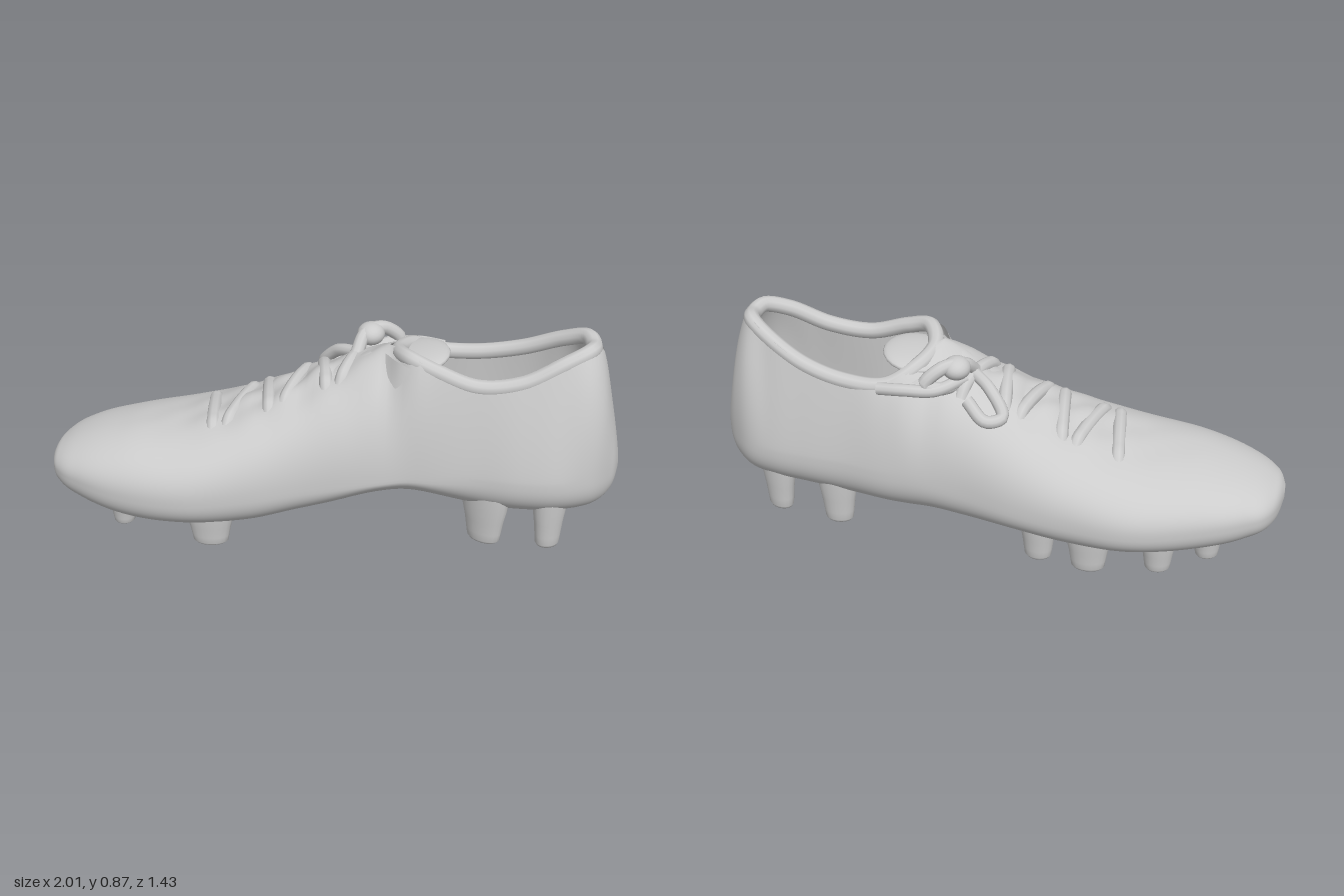
import * as THREE from 'three';
import { mergeVertices } from 'three/addons/utils/BufferGeometryUtils.js';

// Cross-sections from heel to toe:
// [station, right edge, left edge, sole y, widest y, right rim, its y, left rim, its y]
// Where the shoe is closed on top, both rims are one crest (last two values left out).
const HEEL = [
  [-1.138, -0.03, 0.04, 0.33, 0.36, 0.01, 0.39],
  [-1.125, -0.08, 0.09, 0.28, 0.36, 0.01, 0.47],
  [-1.1, -0.13, 0.13, 0.235, 0.36, 0.01, 0.6],
  [-1.05, -0.19, 0.185, 0.2, 0.36, 0, 0.82],
  [-1.0, -0.23, 0.215, 0.185, 0.36, -0.09, 0.86, 0.07, 0.86],
  [-0.9, -0.265, 0.25, 0.175, 0.36, -0.165, 0.82, 0.13, 0.83],
  [-0.75, -0.285, 0.256, 0.165, 0.36, -0.215, 0.75, 0.165, 0.76],
  [-0.58, -0.3, 0.236, 0.15, 0.36, -0.24, 0.71, 0.175, 0.74],
  [-0.42, -0.322, 0.235, 0.14, 0.35, -0.24, 0.71, 0.16, 0.79],
  [-0.32, -0.33, 0.235, 0.135, 0.35, -0.18, 0.76, 0.12, 0.82],
];
const FOREFOOT = [
  [-0.24, -0.335, 0.245, 0.135, 0.34, -0.01, 0.8],
  [-0.1, -0.35, 0.26, 0.13, 0.32, -0.03, 0.73],
  [0.1, -0.385, 0.275, 0.12, 0.29, -0.02, 0.64],
  [0.3, -0.403, 0.315, 0.09, 0.27, 0.02, 0.55],
  [0.55, -0.402, 0.346, 0.08, 0.25, 0.04, 0.47],
  [0.8, -0.325, 0.308, 0.09, 0.25, 0.04, 0.43],
  [0.98, -0.245, 0.235, 0.13, 0.26, 0.02, 0.38],
  [1.07, -0.165, 0.168, 0.17, 0.26, 0.02, 0.335],
  [1.1, -0.085, 0.12, 0.2, 0.26, 0.02, 0.31],
  [1.115, 0, 0.06, 0.24, 0.26, 0.03, 0.28],
];
const ROWS = [...HEEL, ...FOREFOOT];
const spline = new THREE.CubicInterpolant(
  ROWS.map(r => r[0]),
  ROWS.flatMap(r => (r.length > 7 ? r.slice(1) : [...r.slice(1), r[5], r[6]])), 8);
const { smoothstep, lerp } = THREE.MathUtils;

function sectionAt(s) {
  const [wR, wL, yb, yw, rR, yR, rL, yL] = spline.evaluate(s);
  const mid = (rR + rL) / 2, open = rL > rR + 0.002;
  return {
    yb, yw, mid,
    // 0 = domed top, 1 = straight walls beside the opening
    wall: smoothstep(-s, 0.05, 0.65) * (1 - smoothstep(-s, 0.88, 1.1)),
    sides: [
      { w: wR, r: open ? rR : mid, y: yR },
      { w: wL, r: open ? rL : mid, y: open ? yL : yR },
    ],
  };
}

// Height of the upper above station s and side offset t
function upperHeight(s, t) {
  const c = sectionAt(s), side = c.sides[t < c.mid ? 0 : 1];
  const k = Math.min(1, Math.abs((t - side.r) / (side.w - side.r)));
  return c.yw + (side.y - c.yw) * Math.sqrt(1 - k * k) ** 0.9;
}

// Creases gathered around the lacing
const crease = (s, t) => (0.012 * Math.sin(s * 42 + t * 9) + 0.008 * Math.sin(s * 23 - t * 31))
  * Math.exp(-(((s - 0.12) / 0.36) ** 2) - (((t + 0.04) / 0.18) ** 2));

// Raised arch on the inner side of the sole
const arch = (s, t) => 0.09 * Math.exp(-(((s + 0.28) / 0.27) ** 2)) * smoothstep(t, -0.15, 0.18);

// Shell lofted from rim to rim under the foot; inset > 0 makes the lining
function shell(s0, s1, inset) {
  const N = 110, M = 28, cols = 4 * M + 1, pos = [], index = [];
  for (let i = 0; i <= N; i++) {
    const s = s0 + (s1 - s0) * (1 - Math.cos(Math.PI * i / N)) / 2;
    const c = sectionAt(s), end = i === 0 || i === N;
    const yb = c.yb + inset * 3, yw = Math.max(c.yw, yb + 0.02);
    for (let j = 0; j < cols; j++) {
      const side = c.sides[j < 2 * M ? 0 : 1];
      const v = Math.abs(j - 2 * M) / M;              // 0 sole centre, 1 widest, 2 rim
      const w = side.w - Math.sign(side.w - c.mid) * Math.min(inset, Math.abs(side.w - c.mid) * 0.8);
      const top = side.y - inset * 0.6;
      let t, y;
      if (end) {                                      // close both ends to a point
        t = c.mid;
        y = (yb + top) / 2;
      } else if (v <= 1) {
        const a = v * Math.PI / 2;
        t = c.mid + (w - c.mid) * Math.sin(a) ** 0.85;
        y = yw - (yw - yb) * Math.max(0, Math.cos(a)) ** 0.75;
        if (!inset) y += arch(s, t) * (1 - v ** 4);
      } else {
        const u = v - 1, b = u * Math.PI / 2;
        t = lerp(side.r + (w - side.r) * Math.cos(b), w + (side.r - w) * u ** 1.3, c.wall);
        y = yw + (top - yw) * lerp(Math.sin(b) ** 0.9, u, c.wall);
        if (!inset) y += crease(s, t) * u;
      }
      pos.push(-(s + inset), y, t);
      if (i < N && j < cols - 1) {
        const p = i * cols + j, q = p + cols;
        index.push(p, p + 1, q, p + 1, q + 1, q);
      }
    }
  }
  const g = new THREE.BufferGeometry();
  g.setAttribute('position', new THREE.Float32BufferAttribute(pos, 3));
  g.setIndex(index);
  const welded = mergeVertices(g, 1e-4);
  welded.computeVertexNormals();
  return welded;
}

export function createModel() {
  const model = new THREE.Group();
  const shoe = new THREE.Group();
  shoe.name = 'footballBoot';
  shoe.rotation.y = 0.548;
  model.add(shoe);

  const grey = new THREE.MeshStandardMaterial({ color: 0xcccccc, side: THREE.DoubleSide });
  const add = (name, geometry) => {
    const mesh = new THREE.Mesh(geometry, grey);
    mesh.name = name;
    shoe.add(mesh);
    return mesh;
  };
  const tube = (name, points, radius, closed = false) =>
    add(name, new THREE.TubeGeometry(
      new THREE.CatmullRomCurve3(points, closed), closed ? 120 : 28, radius, 10, closed));
  const V = (s, y, t) => new THREE.Vector3(-s, y, t);

  add('upperAndSole', shell(-1.138, 1.115, 0));
  add('lining', shell(-1.09, 0.1, 0.045));

  // Padded collar just inside the edge of the opening
  const stations = [-0.32, -0.42, -0.58, -0.75, -0.9, -0.99];
  const rim = (s, k) => {
    const e = sectionAt(s).sides[k];
    return V(s, e.y - 0.02, e.r + (k ? -0.022 : 0.022));
  };
  tube('collar', [
    V(-0.27, 0.775, -0.02),
    ...stations.map(s => rim(s, 0)),
    V(-1.01, 0.835, -0.01),
    ...stations.slice().reverse().map(s => rim(s, 1)),
  ], 0.032, true);

  // Tongue reaching back into the opening
  const tongue = add('tongue', new THREE.SphereGeometry(1, 24, 14));
  tongue.position.copy(V(-0.34, 0.745, -0.04));
  tongue.scale.set(0.13, 0.03, 0.15);
  tongue.rotation.z = 0.15;

  // Laces crossing the instep
  for (let i = 0; i < 6; i++) {
    const s = 0.46 - i * 0.11, skew = i % 2 ? 0.04 : -0.02, reach = 0.15 - i * 0.015, pts = [];
    for (let k = 0; k <= 8; k++) {
      const t = lerp(-0.2, reach, k / 8), along = s + skew * (k / 4 - 1);
      pts.push(V(along, upperHeight(along, t) - (k % 8 ? 0.012 : 0.035), t));
    }
    tube('lace', pts, 0.028);
  }

  // Knot and loops lying to one side
  tube('laceLoop', [V(-0.1, 0.72, -0.08), V(-0.13, 0.78, -0.15), V(-0.2, 0.78, -0.21),
    V(-0.26, 0.72, -0.24), V(-0.2, 0.7, -0.22), V(-0.12, 0.7, -0.12)], 0.027);
  tube('laceLoop', [V(-0.1, 0.72, -0.1), V(-0.02, 0.69, -0.17), V(0.04, 0.61, -0.23),
    V(-0.02, 0.6, -0.26), V(-0.1, 0.66, -0.22)], 0.025);
  tube('laceEnd', [V(-0.12, 0.72, -0.15), V(-0.22, 0.7, -0.24), V(-0.34, 0.7, -0.26),
    V(-0.44, 0.69, -0.25)], 0.024);
  const knot = add('laceKnot', new THREE.IcosahedronGeometry(0.05, 3));
  knot.position.copy(V(-0.15, 0.77, -0.17));
  knot.scale.set(1.1, 0.9, 1.2);

  // Studs: [station, side offset, bottom y, half length, turn]
  const studs = [
    [-0.63, 0.155, 0.05, 0.085, -0.5], [-0.88, 0.165, 0.05, 0.06, 0.5],
    [-0.64, -0.2, 0.04, 0.07, 0], [-0.9, -0.165, 0.05, 0.07, -0.5],
    [0.8, 0.21, 0.08, 0.05, -0.4], [0.85, 0.02, 0.035, 0.055, 1.4],
    [0.84, -0.16, 0.05, 0.055, 0.5], [0.66, -0.26, 0.03, 0.06, 0.2],
    [0.39, -0.27, 0, 0.08, 0], [0.19, -0.26, 0.02, 0.065, -0.1],
    [0.45, 0.23, 0.015, 0.085, 0], [0.58, 0, 0.03, 0.06, 0.8],
  ];
  const profile = [[0, 0], [0.7, 0], [0.82, 0.05], [0.88, 0.2], [0.98, 0.45], [1.12, 0.7], [1.2, 1]]
    .map(p => new THREE.Vector2(...p));
  const studShape = new THREE.LatheGeometry(profile, 20);
  for (const [s, t, y, half, turn] of studs) {
    const stud = add('stud', studShape);
    stud.position.copy(V(s, y, t));
    stud.scale.set(half, sectionAt(s).yb + 0.11 - y, 0.05);
    stud.rotation.y = turn;
  }
  return model;
}
